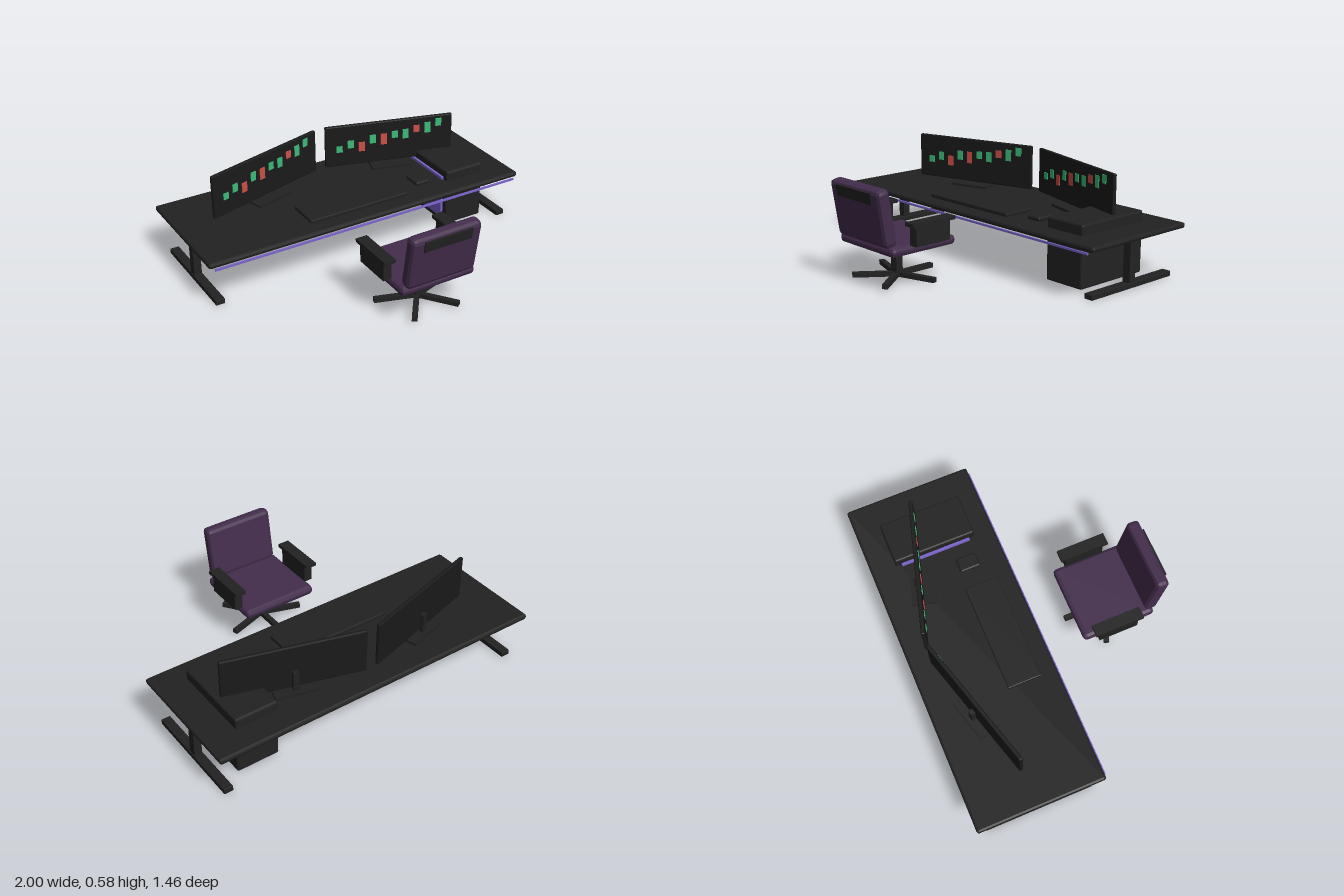
import * as THREE from 'three';
import { RoundedBoxGeometry } from 'three/addons/geometries/RoundedBoxGeometry.js';

const mat = (name, color) => {
  const m = new THREE.MeshStandardMaterial({ color, flatShading: true });
  m.name = name;
  return m;
};

export function createModel() {
  const charcoal = mat('charcoal', 0x222222);
  const black = mat('black', 0x1a1a1a);
  const plum = mat('plum upholstery', 0x432d4c);
  const violet = mat('violet light', 0x7c64cc);
  const green = mat('candle green', 0x3dbb78);
  const red = mat('candle red', 0xcc5048);

  const model = new THREE.Group();
  model.name = 'tradingDesk';

  // Box given by its size and centre; a radius bevels the edges
  const box = (parent, name, material, size, pos, radius = 0) => {
    const geo = radius
      ? new RoundedBoxGeometry(...size, 1, radius)
      : new THREE.BoxGeometry(...size);
    const mesh = new THREE.Mesh(geo, material);
    mesh.name = name;
    mesh.position.set(...pos);
    parent.add(mesh);
    return mesh;
  };
  const group = (name, x = 0, y = 0, z = 0) => {
    const g = new THREE.Group();
    g.name = name;
    g.position.set(x, y, z);
    model.add(g);
    return g;
  };

  // Desk with T-shaped legs and a light strip under the front edge
  const desk = group('desk');
  box(desk, 'deskTop', charcoal, [2, 0.032, 0.74], [0, 0.283, -0.36], 0.013);
  box(desk, 'lightStrip', violet, [1.94, 0.011, 0.01], [0, 0.261, 0.014]);
  for (const s of [-1, 1]) {
    box(desk, 'deskLeg', charcoal, [0.045, 0.25, 0.045], [s * 0.93, 0.148, -0.358]);
    box(desk, 'deskFoot', charcoal, [0.053, 0.03, 0.63], [s * 0.93, 0.015, -0.358], 0.003);
  }

  // Computer case with a glowing side panel
  const computer = group('computer');
  box(computer, 'computerCase', charcoal, [0.25, 0.35, 0.48], [0.697, 0.183, -0.347], 0.01);
  box(computer, 'sidePanel', violet, [0.014, 0.265, 0.41], [0.564, 0.183, -0.347]);

  // Keyboard and mouse
  box(model, 'keyboard', charcoal, [0.63, 0.022, 0.195], [-0.03, 0.309, -0.183], 0.005);
  box(model, 'mouse', charcoal, [0.09, 0.026, 0.12], [0.43, 0.311, -0.205], 0.01);

  // Monitors: candle centre height, candle length, rising or falling
  const candles = [
    [0.43, 0.04, 1], [0.455, 0.05, 1], [0.432, 0.06, 0], [0.473, 0.055, 1], [0.465, 0.07, 0],
    [0.487, 0.045, 1], [0.483, 0.06, 1], [0.508, 0.045, 0], [0.508, 0.068, 1], [0.535, 0.05, 1],
  ];
  for (const s of [-1, 1]) {
    const monitor = group(s < 0 ? 'rightMonitor' : 'leftMonitor', s * 0.412, 0, -0.497);
    monitor.rotation.y = -s * 0.28;
    box(monitor, 'screen', black, [0.785, 0.26, 0.022], [0, 0.449, 0], 0.006);
    box(monitor, 'standBase', charcoal, [0.24, 0.014, 0.14], [0, 0.306, 0.01]);
    box(monitor, 'standPost', charcoal, [0.03, 0.12, 0.025], [0, 0.367, -0.023]);
    candles.forEach(([y, h, up], i) =>
      box(monitor, 'candle', up ? green : red, [0.037, h, 0.004], [(i - 4.5) * 0.068, y, 0.0125]));
  }

  // Chair, with its backrest towards the front
  const chair = group('chair', 0, 0, 0.45);
  for (let i = 0; i < 5; i++) {
    const arm = new THREE.Group();
    arm.name = 'baseArm';
    arm.rotation.y = (i * Math.PI * 2) / 5;
    box(arm, 'baseArmBar', charcoal, [0.03, 0.026, 0.24], [0, 0.026, -0.12]);
    chair.add(arm);
  }
  box(chair, 'chairPost', charcoal, [0.044, 0.17, 0.044], [0, 0.115, 0]);
  box(chair, 'seat', plum, [0.455, 0.055, 0.43], [0, 0.222, -0.007], 0.022);
  for (const s of [-1, 1]) {
    box(chair, 'armSupport', charcoal, [0.05, 0.115, 0.23], [s * 0.24, 0.3, -0.033]);
    box(chair, 'armPad', charcoal, [0.068, 0.02, 0.285], [s * 0.241, 0.36, -0.034]);
  }
  const back = new THREE.Group();
  back.name = 'backrest';
  back.position.set(0, 0.402, 0.217);
  back.rotation.x = 0.17;
  box(back, 'backCushion', plum, [0.42, 0.315, 0.075], [0, 0, 0], 0.024);
  box(back, 'headPlate', charcoal, [0.29, 0.062, 0.02], [0, 0.112, 0.034]);
  chair.add(back);

  return model;
}
